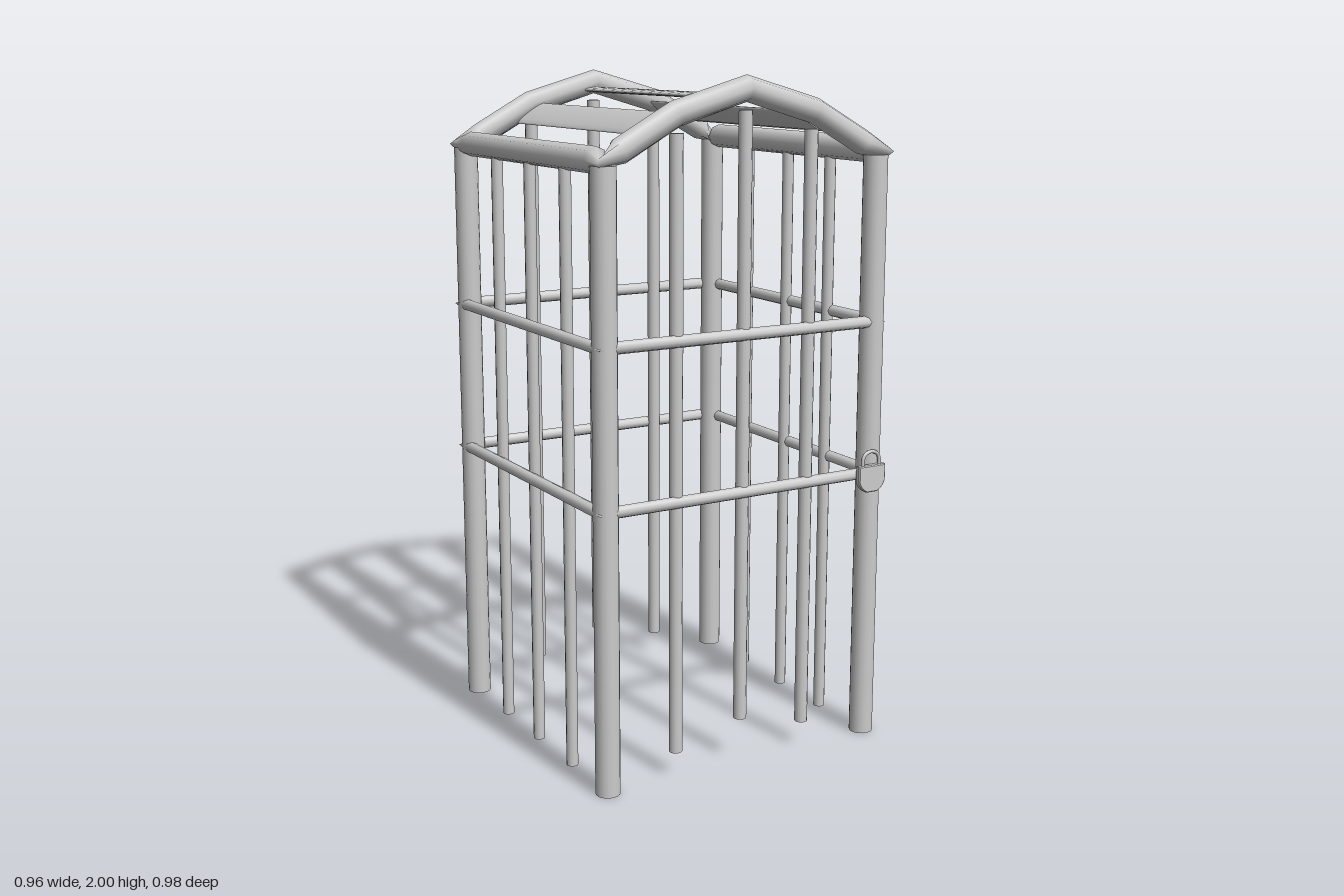
import * as THREE from 'three';

const material = new THREE.MeshStandardMaterial({ color: 0xcccccc });
const V = (x, y, z) => new THREE.Vector3(x, y, z);

function add(parent, name, geometry, x = 0, y = 0, z = 0) {
  const mesh = new THREE.Mesh(geometry, material);
  mesh.name = name;
  mesh.position.set(x, y, z);
  parent.add(mesh);
  return mesh;
}

// Closed tube through stations [centre, outward half-axis, upward half-axis]
function loopTube(stations, sides = 8) {
  const pos = [], idx = [], n = stations.length;
  for (const [c, out, up] of stations)
    for (let j = 0; j < sides; j++) {
      const a = (j / sides) * Math.PI * 2;
      pos.push(...c.clone().addScaledVector(out, Math.cos(a)).addScaledVector(up, Math.sin(a)).toArray());
    }
  for (let i = 0; i < n; i++)
    for (let j = 0; j < sides; j++) {
      const k = (j + 1) % sides, m = (i + 1) % n;
      const a = i * sides + j, b = i * sides + k, c = m * sides + k, d = m * sides + j;
      idx.push(a, b, c, a, c, d);
    }
  const g = new THREE.BufferGeometry();
  g.setAttribute('position', new THREE.Float32BufferAttribute(pos, 3));
  g.setIndex(idx);
  g.computeVertexNormals();
  return g;
}

// Horizontal rail loop whose mitred corners flatten to points
function railLoop(x0, x1, z0, z1, r) {
  const inset = 0.035, up = V(0, r, 0), flat = V(0, r * 0.15, 0), st = [];
  const corners = [[1, 1], [-1, 1], [-1, -1], [1, -1]];
  corners.forEach(([sx, sz], i) => {
    const x = sx > 0 ? x1 : x0, z = sz > 0 ? z1 : z0;
    const onZ = [V(x, 0, z - sz * inset), V(sx * r, 0, 0), up];
    const onX = [V(x - sx * inset, 0, z), V(0, 0, sz * r), up];
    const corner = [V(x, 0, z), V(sx * r, 0, sz * r), flat];
    st.push(...(i % 2 === 0 ? [onZ, corner, onX] : [onX, corner, onZ]));
  });
  return loopTube(st);
}

// Roof frame: two arches joined by two straight side beams
function roofFrame(hx, hz, r) {
  const st = [];
  for (const s of [1, -1]) {
    const p = (x, y) => V(s * x, y, s * hz);
    const out = V(0, 0, s * r);
    const tilt = (a) => V(s * Math.sin(a) * r, Math.cos(a) * r, 0);
    const beam = (e) => [V(s * e * hx, 1.782, s * (hz - 0.04)), V(s * e * r, 0, 0), V(0, r, 0)];
    const corner = (e) => [p(e * hx, 1.779), V(s * e * r, 0, s * r), V(0, 0.017, 0)];
    st.push(
      beam(1), corner(1),
      [p(0.395, 1.806), out, tilt(0.53)],
      [p(0.225, 1.899), out, tilt(0.42)],
      [p(0, 1.963), out, tilt(0)],
      [p(-0.225, 1.899), out, tilt(-0.42)],
      [p(-0.395, 1.806), out, tilt(-0.53)],
      corner(-1), beam(-1)
    );
  }
  return loopTube(st);
}

// Padlock with a rounded tapering body and a hooped shackle
function padlock() {
  const lock = new THREE.Group();
  lock.name = 'padlock';
  const s = new THREE.Shape();
  s.moveTo(-0.045, 0.035);
  s.lineTo(-0.045, -0.01);
  s.quadraticCurveTo(-0.04, -0.03, -0.018, -0.041);
  s.lineTo(0.018, -0.041);
  s.quadraticCurveTo(0.04, -0.03, 0.045, -0.01);
  s.lineTo(0.045, 0.035);
  s.closePath();
  add(lock, 'padlockBody', new THREE.ExtrudeGeometry(s, {
    depth: 0.014, bevelEnabled: true, bevelThickness: 0.003, bevelSize: 0.003, bevelSegments: 1, curveSegments: 6,
  }), 0, 0, -0.007);
  const path = new THREE.CurvePath();
  path.add(new THREE.LineCurve3(V(-0.03, 0.03, 0), V(-0.03, 0.05, 0)));
  path.add(new THREE.CubicBezierCurve3(V(-0.03, 0.05, 0), V(-0.03, 0.088, 0), V(0.03, 0.088, 0), V(0.03, 0.05, 0)));
  path.add(new THREE.LineCurve3(V(0.03, 0.05, 0), V(0.03, 0.03, 0)));
  add(lock, 'padlockShackle', new THREE.TubeGeometry(path, 24, 0.0055, 8));
  return lock;
}

export function createModel() {
  const model = new THREE.Group();
  model.name = 'barredCage';
  const cage = new THREE.Group();
  cage.name = 'cage';
  cage.position.set(-0.002, 0, -0.006);
  model.add(cage);
  const hx = 0.445, hz = 0.446;

  // Corner posts
  const postGeo = new THREE.CylinderGeometry(0.036, 0.036, 1.77, 16);
  for (const sx of [-1, 1])
    for (const sz of [-1, 1]) add(cage, 'cornerPost', postGeo, sx * hx, 0.885, sz * hz);

  // Upright bars; those under the arches step up with the roofline
  const barGeo = new THREE.CylinderGeometry(0.0195, 0.0195, 1.77, 12);
  const sideGeo = new THREE.CylinderGeometry(0.0175, 0.0175, 1.757, 12);
  for (const s of [-1, 1])
    for (const i of [-1, 0, 1]) {
      add(cage, 'endBar', barGeo, i * 0.22 - 0.002, i ? 0.963 : 1.02, s * hz);
      add(cage, 'sideBar', sideGeo, s * hx, 0.8785, i * 0.222 + 0.002);
    }

  // Horizontal rails
  const railGeo = railLoop(-0.462, 0.455, -0.462, 0.458, 0.018);
  for (const y of [0.828, 1.285]) add(cage, 'rail', railGeo, 0, y, 0);

  // Roof frame and flattened roof slats
  add(cage, 'roofFrame', roofFrame(hx, hz, 0.037));
  const slatGeo = new THREE.CylinderGeometry(1, 1, 0.83, 16).rotateX(Math.PI / 2).scale(0.049, 0.0085, 1);
  for (const i of [-1, 0, 1]) {
    const slat = add(cage, 'roofSlat', slatGeo, i * 0.236, i ? 1.869 : 1.938, 0);
    slat.rotation.z = -i * 0.58;
    if (i) slat.scale.x = 1.12;
  }

  // Padlock on the front post
  const lock = padlock();
  lock.position.set(0.422, 0.822, 0.484);
  model.add(lock);
  return model;
}
